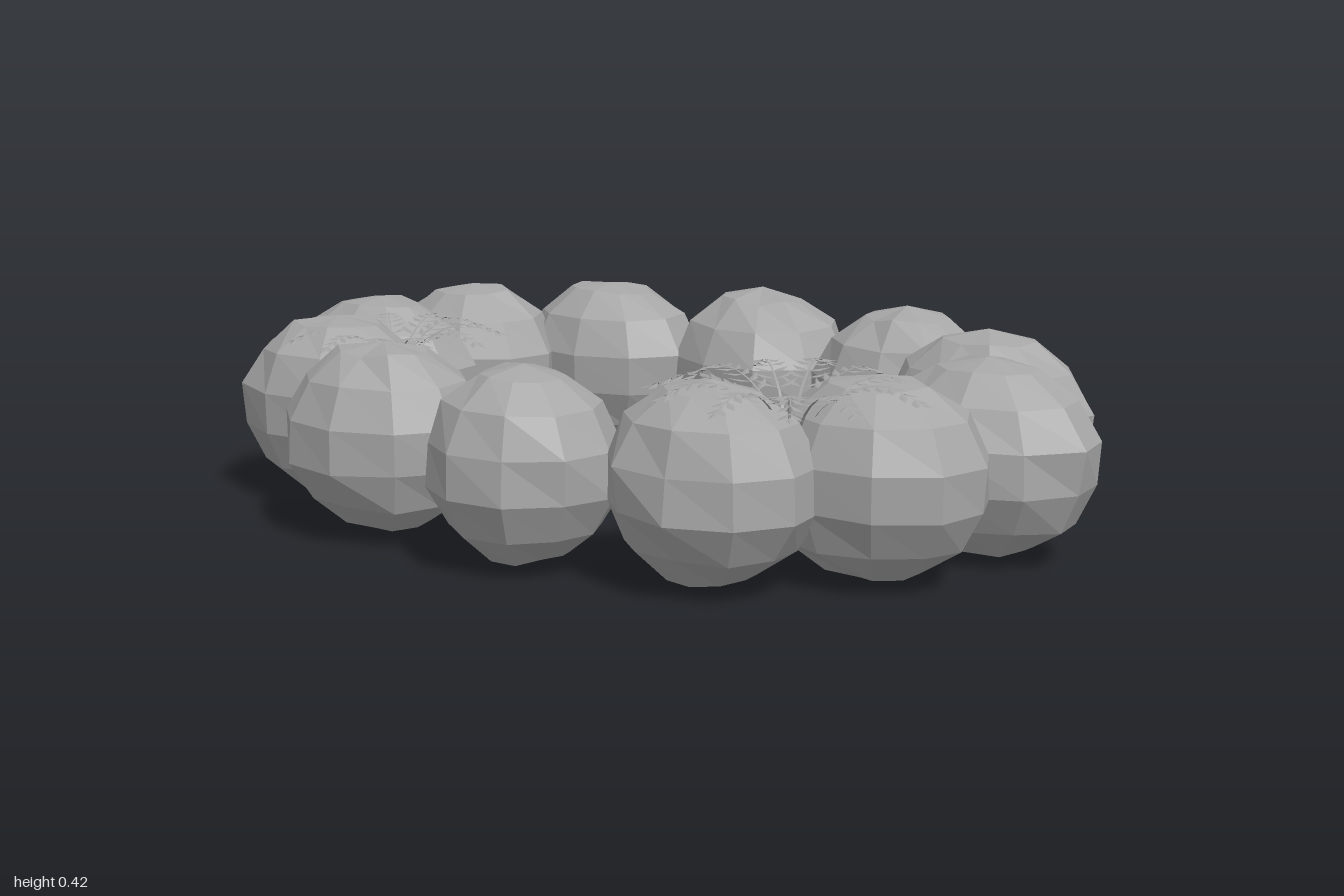
import * as THREE from 'three';

const stone = new THREE.MeshStandardMaterial({ color: 0xa6a6a6, flatShading: true });
stone.name = 'stone grey';
const leaf = new THREE.MeshStandardMaterial({ color: 0xa0a0a0, flatShading: true, side: THREE.DoubleSide });
leaf.name = 'fern grey';

// Small seeded generator
function seeded(seed) {
  let s = seed * 7919 + 17;
  return () => {
    s = (s * 16807) % 2147483647;
    return s / 2147483647;
  };
}

// Faceted boulder: coarse sphere with each shared corner pushed in or out
function makeRock(seed, rx, ry, rz) {
  const rnd = seeded(seed);
  for (let i = 0; i < 5; i++) rnd();
  const geo = new THREE.SphereGeometry(1, 10, 7);
  const pos = geo.attributes.position;
  const push = new Map();
  const v = new THREE.Vector3();
  for (let i = 0; i < pos.count; i++) {
    v.fromBufferAttribute(pos, i);
    const key = v.toArray().map((n) => Math.round(n * 100)).join();
    if (!push.has(key)) push.set(key, 0.96 + 0.07 * rnd());
    v.multiplyScalar(push.get(key));
    pos.setXYZ(i, v.x, v.y, v.z);
  }
  geo.rotateY(Math.floor(rnd() * 10) * Math.PI / 5 + Math.PI / 10 * (seed % 2));
  geo.scale(rx, ry, rz);
  geo.computeBoundingBox();
  return new THREE.Mesh(geo, stone);
}

// One arching frond along +x: rib with paired pointed leaflets
function frondGeometry(seed) {
  const rnd = seeded(seed);
  for (let i = 0; i < 5; i++) rnd();
  const curve = new THREE.CatmullRomCurve3([
    [0.01, 0], [0.06, 0.09], [0.12, 0.135], [0.19, 0.15], [0.265, 0.125],
  ].map(([x, y]) => new THREE.Vector3(x, y, 0)));
  const points = [];
  const tri = (...p) => p.forEach((q) => points.push(q.x, q.y, q.z));
  const side = new THREE.Vector3(0, 0, 1);

  // Thin tapering rib
  const n = 12;
  for (let i = 0; i < n; i++) {
    const a = curve.getPoint(i / n), b = curve.getPoint((i + 1) / n);
    const wa = 0.0035 * (1 - 0.7 * i / n), wb = 0.0035 * (1 - 0.7 * (i + 1) / n);
    const a1 = a.clone().addScaledVector(side, wa), a2 = a.clone().addScaledVector(side, -wa);
    const b1 = b.clone().addScaledVector(side, wb), b2 = b.clone().addScaledVector(side, -wb);
    tri(a1, b1, a2);
    tri(a2, b1, b2);
  }

  // Leaflet: two halves folded along the midrib
  const addLeaflet = (base, dir, length, width) => {
    const across = new THREE.Vector3(-dir.z, 0, dir.x).normalize();
    const tip = base.clone().addScaledVector(dir, length);
    const mid = base.clone().addScaledVector(dir, length * 0.45);
    for (const s of [1, -1]) {
      const edge = mid.clone().addScaledVector(across, s * width);
      edge.y -= 0.002;
      tri(base, edge, mid);
      tri(mid, edge, tip);
    }
  };
  const pairs = 8;
  for (let i = 0; i < pairs; i++) {
    const t = 0.36 + 0.58 * i / (pairs - 1);
    const p = curve.getPoint(t), forward = curve.getTangent(t);
    const length = (0.058 - 0.028 * i / (pairs - 1)) * (0.9 + 0.2 * rnd());
    for (const s of [1, -1]) {
      const dir = forward.clone().multiplyScalar(0.6).addScaledVector(side, s * 0.85);
      dir.y -= 0.12;
      addLeaflet(p, dir.normalize(), length, 0.0085);
    }
  }
  addLeaflet(curve.getPoint(0.97), curve.getTangent(1), 0.03, 0.007);

  const geo = new THREE.BufferGeometry();
  geo.setAttribute('position', new THREE.Float32BufferAttribute(points, 3));
  geo.computeVertexNormals();
  return geo;
}

// Fern: crown of fronds around a centre
function makeFern(name, x, y, z, scale, seed) {
  const fern = new THREE.Group();
  fern.name = name;
  const rnd = seeded(seed);
  for (let i = 0; i < 5; i++) rnd();
  const count = 11;
  for (let i = 0; i < count; i++) {
    const frond = new THREE.Mesh(frondGeometry(seed + i), leaf);
    frond.name = 'frond';
    frond.rotation.y = (i + 0.3 * (rnd() - 0.5)) * 2 * Math.PI / count;
    const s = 0.95 + 0.1 * rnd();
    frond.scale.set(s, 1, s);
    fern.add(frond);
  }
  fern.position.set(x, y, z);
  fern.scale.setScalar(scale);
  return fern;
}

export function createModel() {
  const model = new THREE.Group();
  model.name = 'stoneRingWithFerns';

  // Boulders on an oval: x, z, half width, half depth
  const rocks = [
    [0.755, -0.01, 0.245, 0.18], [0.64, 0.26, 0.235, 0.19],
    [0.38, 0.455, 0.225, 0.19], [-0.015, 0.51, 0.21, 0.19],
    [-0.4, 0.455, 0.235, 0.19], [-0.68, 0.25, 0.24, 0.19],
    [-0.76, -0.01, 0.24, 0.18], [-0.68, -0.27, 0.225, 0.18],
    [-0.4, -0.455, 0.235, 0.18], [-0.015, -0.51, 0.225, 0.19],
    [0.385, -0.445, 0.22, 0.18], [0.65, -0.275, 0.24, 0.18],
  ];
  rocks.forEach(([x, z, rx, rz], i) => {
    const rock = makeRock(i + 3, rx, 0.205, rz);
    rock.name = 'boulder';
    rock.position.set(x, 0.207, z);
    model.add(rock);
  });

  // Ferns sprouting between the boulders
  model.add(makeFern('leftFern', 0.51, 0.262, 0.38, 1, 31));
  model.add(makeFern('rightFern', -0.565, 0.255, 0.2, 0.87, 67));
  return model;
}
